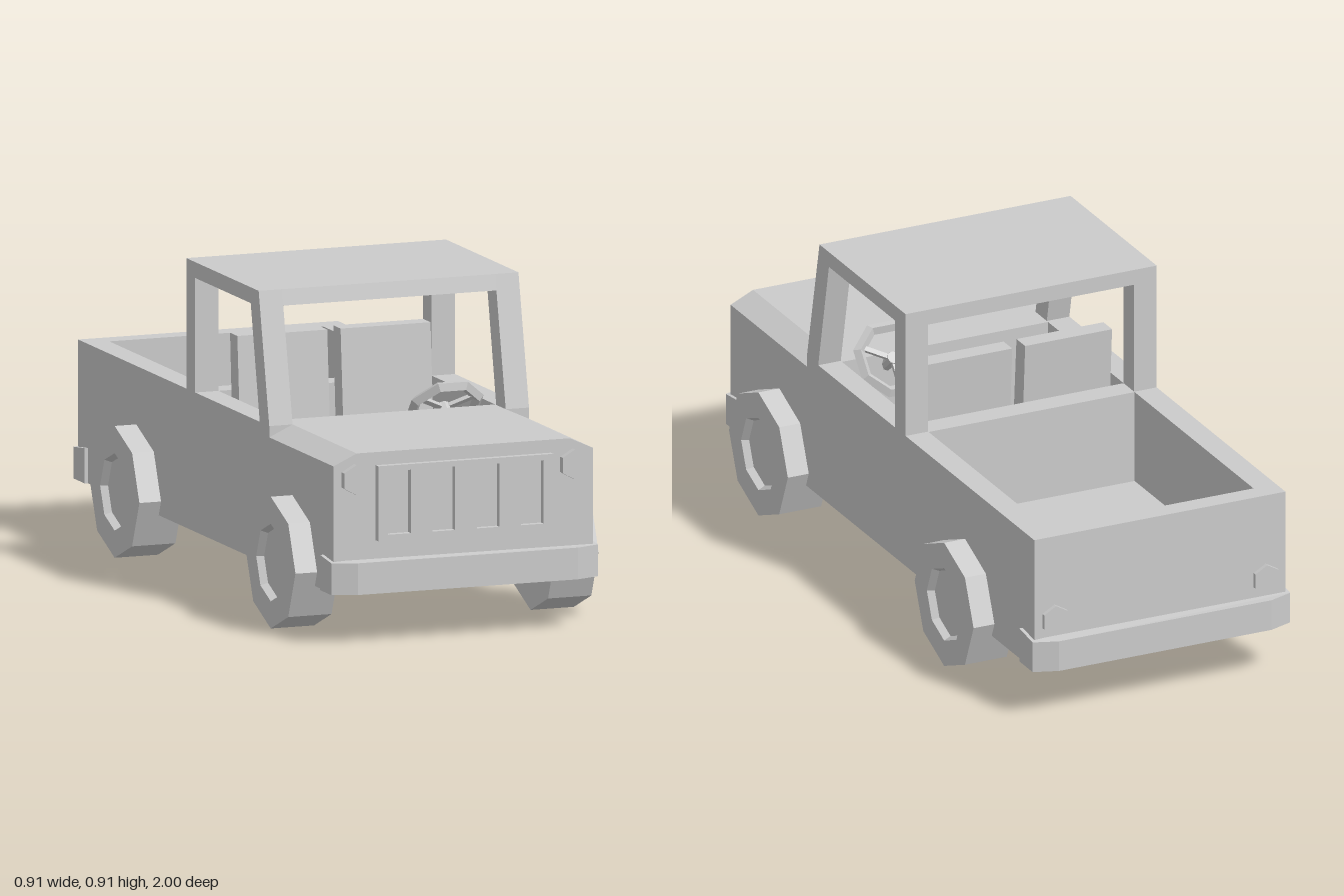
import * as THREE from 'three';

const material = new THREE.MeshStandardMaterial({ color: 0xcccccc, flatShading: true });

function add(parent, name, geometry, x = 0, y = 0, z = 0) {
  const mesh = new THREE.Mesh(geometry, material);
  mesh.name = name;
  mesh.position.set(x, y, z);
  parent.add(mesh);
  return mesh;
}

const polygon = (points) => new THREE.Shape(points.map(([a, b]) => new THREE.Vector2(a, b)));
const rectangle = (x0, y0, x1, y1) => polygon([[x0, y0], [x1, y0], [x1, y1], [x0, y1]]);
const extrude = (shape, depth) => new THREE.ExtrudeGeometry(shape, { depth, bevelEnabled: false });
// plan shape drawn in (x, -z), raised along y
const raise = (shape, height) => extrude(shape, height).rotateX(-Math.PI / 2);
// side profile drawn in (z, y), centred across x
const across = (shape, width) => extrude(shape, width).rotateY(-Math.PI / 2).translate(width / 2, 0, 0);

const W = 0.39; // half width of the body
const IN = 0.32; // half width of the cab and bed openings

function buildBody(car) {
  // floor slab, then walls around the cab and the bed
  add(car, 'floor', raise(rectangle(-W, -0.48, W, 0.965), 0.125), 0, 0.145, 0);
  const walls = rectangle(-W, -0.48, W, 0.965);
  walls.holes.push(rectangle(-IN, -0.4, IN, 0.08), rectangle(-IN, 0.15, IN, 0.905));
  add(car, 'bodyWalls', raise(walls, 0.27), 0, 0.27, 0);

  // hood block with sloping shoulders
  const hood = polygon([[-W, 0.145], [W, 0.145], [W, 0.508], [IN, 0.54], [-IN, 0.54], [-W, 0.508]]);
  add(car, 'hood', extrude(hood, 0.485), 0, 0, 0.48);
}

function buildCab(car) {
  // pillars and roof rail of each side
  const side = polygon([
    [0.48, 0.54], [0.4, 0.91], [-0.147, 0.91], [-0.147, 0.54],
    [-0.08, 0.54], [-0.08, 0.865], [0.34, 0.865], [0.408, 0.54],
  ]);
  for (const s of [-1, 1]) add(car, 'cabPillars', across(side, W - IN), s * (W + IN) / 2, 0, 0);
  const roof = polygon([[-0.147, 0.865], [0.41, 0.865], [0.4, 0.91], [-0.147, 0.91]]);
  add(car, 'roof', across(roof, IN * 2));

  // seats with leaning backs
  const back = polygon([[0.02, 0.27], [-0.013, 0.705], [-0.068, 0.705], [-0.04, 0.27]]);
  for (const s of [-1, 1]) {
    add(car, 'seatBack', across(back, 0.27), s * 0.155, 0, 0);
    add(car, 'seatCushion', new THREE.BoxGeometry(0.27, 0.09, 0.22), s * 0.155, 0.315, 0.11);
  }

  // steering wheel, leaning forward at the top
  const wheel = new THREE.Group();
  wheel.name = 'steeringWheel';
  wheel.position.set(0.178, 0.535, 0.37);
  wheel.rotation.x = 0.7;
  add(wheel, 'rim', new THREE.TorusGeometry(0.1, 0.017, 4, 8).rotateZ(Math.PI / 8));
  for (const a of [Math.PI / 6, Math.PI * 5 / 6, Math.PI * 1.5]) {
    const spoke = new THREE.BoxGeometry(0.1, 0.014, 0.012).translate(0.05, 0, 0).rotateZ(a);
    add(wheel, 'spoke', spoke);
  }
  add(wheel, 'column', new THREE.CylinderGeometry(0.018, 0.018, 0.12, 8).rotateX(Math.PI / 2), 0, 0, 0.05);
  car.add(wheel);
}

function buildBumper(name) {
  // plan with cut corners, and a slightly sloping top
  const outline = polygon([
    [-0.4, -0.89], [-0.4, -0.975], [-0.33, -1], [0.33, -1], [0.4, -0.975], [0.4, -0.89],
  ]);
  const geometry = raise(outline, 0.1);
  const p = geometry.attributes.position;
  for (let i = 0; i < p.count; i++) {
    if (p.getY(i) > 0.05 && p.getZ(i) > 0.95) p.setY(i, 0.09);
  }
  geometry.computeVertexNormals();
  const bumper = new THREE.Group();
  bumper.name = name;
  add(bumper, 'bar', geometry, 0, 0.145, 0);
  return bumper;
}

function buildFittings(car) {
  car.add(buildBumper('frontBumper'));
  const rear = buildBumper('rearBumper');
  rear.rotation.y = Math.PI;
  car.add(rear);

  // grille with four open slots
  const grille = rectangle(-0.263, 0.29, 0.263, 0.503);
  for (let i = 0; i < 4; i++) {
    const x = (i - 1.5) * 0.133;
    grille.holes.push(rectangle(x - 0.034, 0.307, x + 0.034, 0.487));
  }
  add(car, 'grille', extrude(grille, 0.022), 0, 0, 0.963);

  // six-sided lamps
  const lamp = new THREE.CylinderGeometry(0.043, 0.043, 0.03, 6).rotateX(Math.PI / 2);
  for (const s of [-1, 1]) {
    add(car, 'headlight', lamp, s * 0.328, 0.468, 0.97);
    add(car, 'tailLight', lamp, s * 0.328, 0.29, -0.963);
  }
}

// eight-sided tyre with a sunken hub, outer face towards +x
function buildWheel() {
  const profile = [[0, -0.065], [0.187, -0.065], [0.187, 0.065], [0.11, 0.065], [0.1, 0.045], [0, 0.045]];
  const points = profile.map(([r, h]) => new THREE.Vector2(r, h));
  return new THREE.LatheGeometry(points, 8).rotateZ(-Math.PI / 2);
}

export function createModel() {
  const car = new THREE.Group();
  car.name = 'pickupTruck';
  buildBody(car);
  buildCab(car);
  buildFittings(car);

  const wheel = buildWheel();
  for (const s of [-1, 1]) {
    for (const [name, z] of [['frontWheel', 0.655], ['rearWheel', -0.525]]) {
      const mesh = add(car, name, wheel, s * 0.39, 0.187, z);
      if (s < 0) mesh.rotation.y = Math.PI;
    }
  }
  return car;
}
